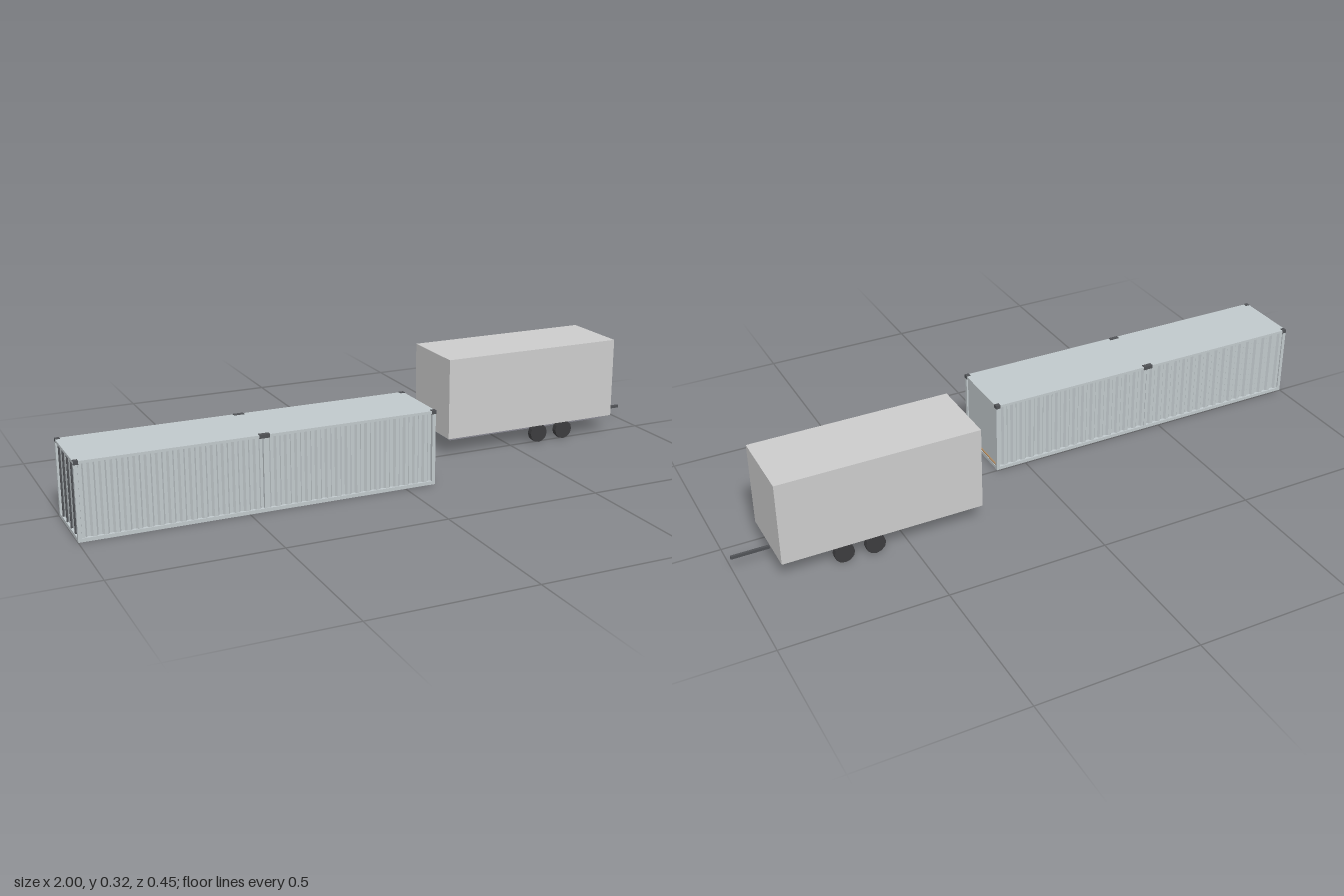
import * as THREE from 'three';

const mat = (color, flatShading = false) => new THREE.MeshStandardMaterial({ color, flatShading });
const grey = mat(0xcccccc);
const steel = mat(0xc0c8cb);
const dark = mat(0x505256);
const rubber = mat(0x3c3c3e, true);
const chassisMat = mat(0x85868f);
const wood = mat(0xb08a60);

// Box given by its minimum and maximum corners
function box(parent, name, material, [x0, y0, z0], [x1, y1, z1]) {
  const mesh = new THREE.Mesh(new THREE.BoxGeometry(x1 - x0, y1 - y0, z1 - z0), material);
  mesh.position.set((x0 + x1) / 2, (y0 + y1) / 2, (z0 + z1) / 2);
  mesh.name = name;
  parent.add(mesh);
  return mesh;
}

// Body with trapezoid corrugation along both long sides, extruded upwards
function corrugatedBody(x0, x1, half, y0, y1, ribs, depth) {
  const pitch = (x1 - x0) / ribs;
  const side = [];
  for (let i = 0; i < ribs; i++) {
    const x = x0 + i * pitch;
    side.push([x, half], [x + pitch * 0.32, half],
      [x + pitch * 0.5, half - depth], [x + pitch * 0.82, half - depth]);
  }
  side.push([x1, half]);
  const back = side.map(([x, z]) => [x, -z]);
  const outline = [...back, ...side.reverse()].map(([x, y]) => new THREE.Vector2(x, y));
  const geometry = new THREE.ExtrudeGeometry(new THREE.Shape(outline), { depth: y1 - y0, bevelEnabled: false });
  geometry.rotateX(-Math.PI / 2);
  geometry.translate(0, y0, 0);
  return geometry;
}

function createContainer() {
  const g = new THREE.Group();
  g.name = 'container';
  const X0 = -1, X1 = 0.1, H = 0.235, W = 0.112, mid = -0.45;

  // Corrugated walls, floor and roof
  const walls = new THREE.Mesh(corrugatedBody(X0 + 0.012, X1 - 0.005, W - 0.003, 0.01, H - 0.004, 34, 0.007), steel);
  walls.name = 'corrugatedWalls';
  g.add(walls);
  box(g, 'floor', steel, [X0, 0, -W], [X1, 0.011, W]);
  box(g, 'roof', steel, [X0, H - 0.008, -W], [X1, H, W]);

  for (const s of [-1, 1]) {
    const z = (a, b) => [Math.min(s * a, s * b), Math.max(s * a, s * b)];
    const [pa, pb] = z(W - 0.011, W);
    for (const x of [X0, X1 - 0.011]) box(g, 'cornerPost', steel, [x, 0.01, pa], [x + 0.011, H - 0.004, pb]);
    const [ma, mb] = z(W - 0.012, W - 0.001);
    box(g, 'middlePost', steel, [mid - 0.004, 0.01, ma], [mid + 0.004, H - 0.004, mb]);

    // Lifting fittings on the roof edge
    const [fa, fb] = z(W - 0.013, W + 0.0015);
    for (const [a, b] of [[X0, X0 + 0.014], [mid - 0.016, mid + 0.016], [X1 - 0.014, X1 + 0.001]]) {
      box(g, 'liftingFitting', dark, [a, H - 0.01, fa], [b, H + 0.0015, fb]);
    }

    // Door leaf with locking bars at the -x end
    const [da, db] = z(0.002, W - 0.013);
    box(g, 'door', steel, [X0 + 0.006, 0.014, da], [X0 + 0.014, H - 0.011, db]);
    for (const bar of [0.025, 0.072]) {
      box(g, 'lockingBar', dark, [X0 + 0.001, 0.012, s * bar - 0.002], [X0 + 0.006, H - 0.009, s * bar + 0.002]);
    }
  }

  // Strip along the sill of the plain end
  box(g, 'sillStrip', wood, [X1 - 0.006, 0.012, -W + 0.011], [X1 - 0.001, 0.016, W - 0.011]);
  g.position.z = 0.1135;
  return g;
}

function createTrailer() {
  const g = new THREE.Group();
  g.name = 'trailer';
  box(g, 'cargoBox', grey, [0.262, 0.057, -0.118], [0.887, 0.321, 0.118]);
  box(g, 'chassis', chassisMat, [0.28, 0.043, -0.092], [0.865, 0.057, 0.092]);
  box(g, 'drawbar', dark, [0.885, 0.038, -0.004], [1, 0.047, 0.004]);

  // Tandem wheels on both sides
  const wheel = new THREE.CylinderGeometry(0.031, 0.031, 0.019, 12).rotateX(Math.PI / 2);
  for (const x of [0.604, 0.7]) {
    for (const s of [-1, 1]) {
      const mesh = new THREE.Mesh(wheel, rubber);
      mesh.name = 'wheel';
      mesh.position.set(x, 0.031, s * 0.1075);
      g.add(mesh);
    }
  }
  g.position.z = -0.108;
  return g;
}

export function createModel() {
  const model = new THREE.Group();
  model.name = 'containerAndTrailer';
  model.add(createContainer(), createTrailer());
  return model;
}
